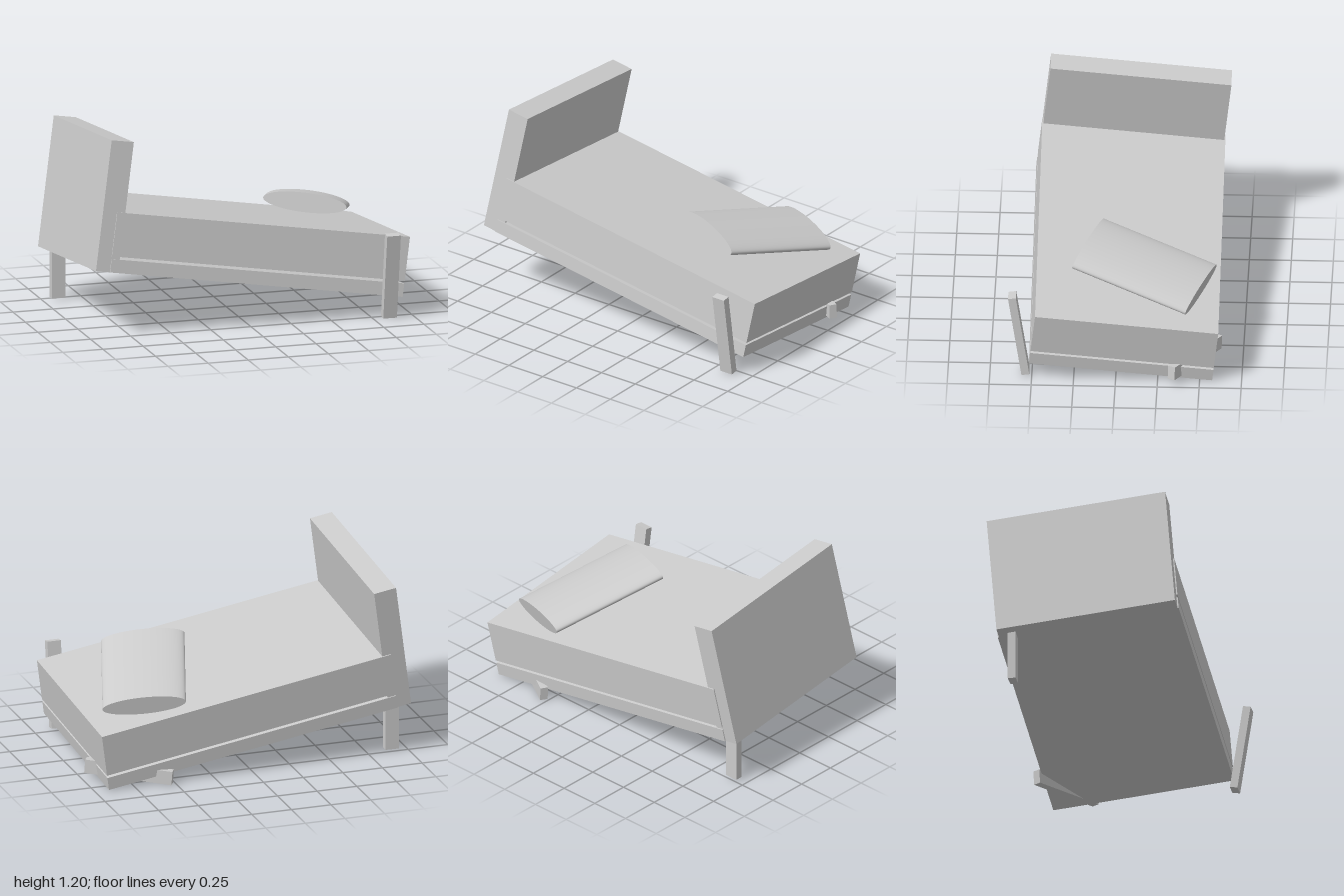
import * as THREE from 'three';

const material = new THREE.MeshStandardMaterial({ color: 0xcccccc });

// Box given by its size and centre
function addBox(parent, name, size, position, rotation = [0, 0, 0]) {
  const mesh = new THREE.Mesh(new THREE.BoxGeometry(...size), material);
  mesh.name = name;
  mesh.position.set(...position);
  mesh.rotation.set(...rotation);
  parent.add(mesh);
  return mesh;
}

export function createModel() {
  const model = new THREE.Group();
  model.name = 'collapsedBed';

  // Bed body, tipped down towards the foot and the back
  const body = new THREE.Group();
  body.name = 'bedBody';
  body.rotation.set(-0.103, 0.025, -0.158);
  model.add(body);
  addBox(body, 'frame', [1.851, 0.081, 1.096], [-0.02, 0.2505, 0]);
  addBox(body, 'mattress', [1.852, 0.265, 1.096], [-0.02, 0.4395, 0]);
  addBox(body, 'headboard', [0.14, 0.789, 1.082], [-0.963, 0.6045, 0]);

  // Legs: one still standing, one leaning away, one lying under the foot
  const legLength = 0.53, legWidth = 0.085, legDepth = 0.047;
  addBox(model, 'standingLeg', [legWidth, 0.385, legDepth], [-0.903, 0.2075, -0.47]);
  addBox(model, 'leaningLeg', [legWidth, legLength, legDepth], [0.848, 0.272, 0.578], [0.152, 0, 0]);
  addBox(model, 'fallenLeg', [legLength, legWidth, legDepth], [0.749, 0.068, -0.467], [0, -0.529, 0.081]);

  // Pillow: flattened cylinder laid across the mattress
  const back = new THREE.Vector3(0.665, 0.485, -0.5);
  const front = new THREE.Vector3(0.435, 0.655, 0.18);
  const along = front.clone().sub(back);
  const length = along.length();
  along.normalize();
  const across = new THREE.Vector3(0.927, -0.112, 0.355);
  across.addScaledVector(along, -across.dot(along)).normalize();
  const thin = across.clone().cross(along);

  const pillow = new THREE.Mesh(new THREE.CylinderGeometry(1, 1, length, 64), material);
  pillow.name = 'pillow';
  pillow.geometry.scale(0.25, 1, 0.058);
  pillow.quaternion.setFromRotationMatrix(new THREE.Matrix4().makeBasis(across, along, thin));
  pillow.position.copy(back).add(front).multiplyScalar(0.5);
  model.add(pillow);

  return model;
}
